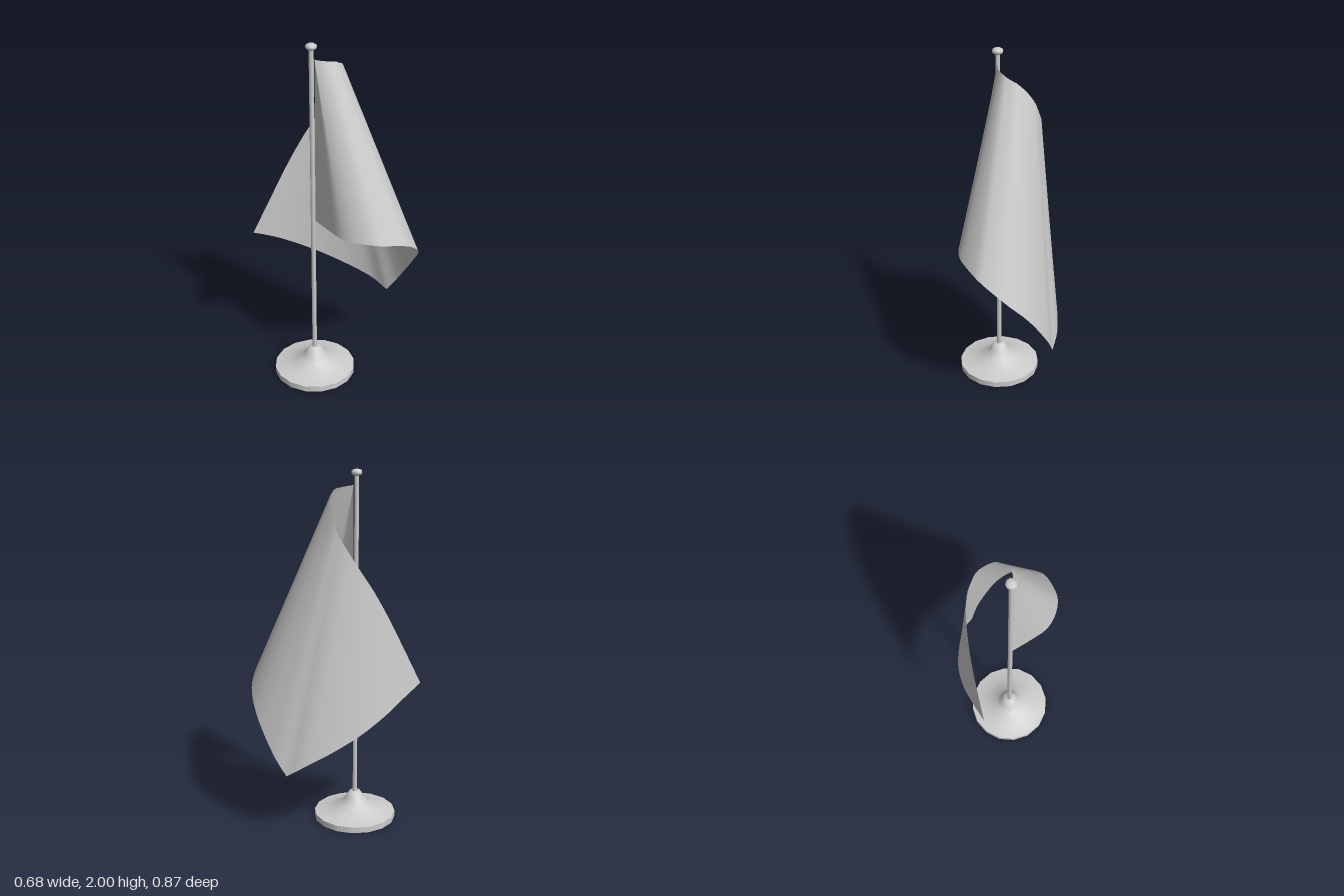
import * as THREE from 'three';

const v = (a) => new THREE.Vector3(...a);
const curve = (pts) => new THREE.CatmullRomCurve3(pts.map(v), false, 'catmullrom');

export function createModel() {
  const group = new THREE.Group();
  const grey = new THREE.MeshStandardMaterial({ color: 0xcccccc });
  grey.name = 'lightGrey';
  const cloth = grey;
  cloth.side = THREE.DoubleSide;

  const PX = -0.11, PZ = -0.082;
  const add = (name, geometry, x = 0, y = 0, z = 0) => {
    const mesh = new THREE.Mesh(geometry, cloth);
    mesh.name = name;
    mesh.position.set(x, y, z);
    group.add(mesh);
  };
  const lathe = (pts, sides) =>
    new THREE.LatheGeometry(pts.map(([r, y]) => new THREE.Vector2(r, y)), sides);

  // Stand: flat disc with a flared collar
  add('baseDisc', new THREE.CylinderGeometry(0.231, 0.231, 0.034, 16), PX, 0.017, PZ);
  add('baseCollar', lathe([[0.231, 0.034], [0.16, 0.046], [0.08, 0.082],
    [0.052, 0.12], [0.03, 0.156], [0, 0.156]], 16), PX, 0, PZ);

  // Pole and its rounded cap
  add('pole', new THREE.CylinderGeometry(0.013, 0.013, 1.83, 8), PX, 1.06, PZ);
  add('finial', lathe([[0.013, 1.965], [0.026, 1.972], [0.03, 1.98], [0.029, 1.991],
    [0.018, 1.998], [0, 2]], 8), PX, 0, PZ);

  // Flag: straight folds run from the top edge to the bottom edge, then to the fly edge
  const topEdge = curve([
    [-0.105, 1.915, -0.065], [-0.085, 1.91, -0.035], [-0.06, 1.905, -0.01],
    [-0.03, 1.9, 0.007], [0, 1.885, 0.01], [0.05, 1.86, 0], [0.09, 1.81, -0.03],
    [0.118, 1.75, -0.06], [0.125, 1.69, -0.09], [0.12, 1.62, -0.135],
    [0.09, 1.52, -0.19], [0.035, 1.395, -0.25], [-0.03, 1.24, -0.31],
    [-0.11, 1.05, -0.37], [-0.2, 0.84, -0.433]]);
  const bottomEdge = curve([
    [-0.105, 0.99, -0.07], [-0.15, 0.99, 0.05], [-0.18, 0.985, 0.16],
    [-0.165, 0.985, 0.26], [-0.11, 0.975, 0.35], [0, 0.945, 0.415],
    [0.08, 0.905, 0.432], [0.2, 0.81, 0.405], [0.29, 0.68, 0.32],
    [0.335, 0.5, 0.2], [0.335, 0.385, 0.12]]);
  const flyEdge = curve([
    [0.335, 0.385, 0.12], [0.315, 0.45, 0.02], [0.245, 0.53, -0.11],
    [0.15, 0.615, -0.23], [0.035, 0.7, -0.32], [-0.08, 0.775, -0.38],
    [-0.2, 0.84, -0.433]]);

  const STEPS = 16 * 6, ROWS = 12;
  const positions = [], index = [];
  for (let i = 0; i <= STEPS; i++) {
    const k = i / 6;
    const top = topEdge.getPoint(Math.max(0, (k - 2) / 14));
    const low = k <= 10 ? bottomEdge.getPoint(k / 10) : flyEdge.getPoint((k - 10) / 6);
    for (let j = 0; j <= ROWS; j++) {
      positions.push(...top.clone().lerp(low, j / ROWS).toArray());
      if (i < STEPS && j < ROWS) {
        const a = i * (ROWS + 1) + j, b = a + ROWS + 1;
        index.push(a, a + 1, b, b, a + 1, b + 1);
      }
    }
  }
  const flag = new THREE.BufferGeometry();
  flag.setAttribute('position', new THREE.Float32BufferAttribute(positions, 3));
  flag.setIndex(index);
  flag.computeVertexNormals();
  add('flag', flag);

  return group;
}
